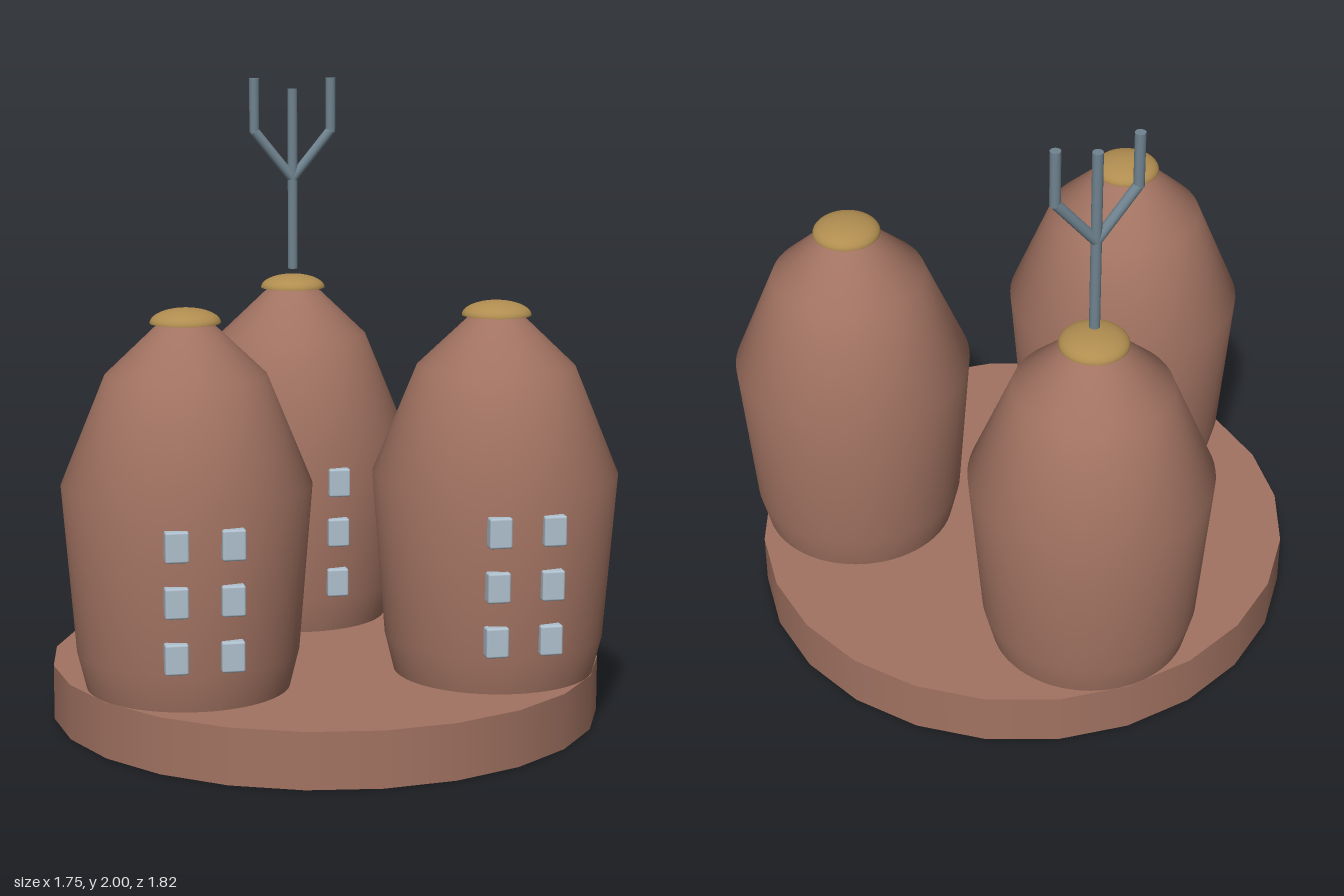
import * as THREE from 'three';
import { RoundedBoxGeometry } from 'three/addons/geometries/RoundedBoxGeometry.js';

const material = (name, color) => {
  const m = new THREE.MeshStandardMaterial({ color });
  m.name = name;
  return m;
};

export function createModel() {
  const clay = material('clay brown', 0xa27362);
  const brass = material('brass', 0xb08d50);
  const steel = material('steel grey', 0x6f838f);
  const glass = material('pale glass', 0xafc0ce);

  const model = new THREE.Group();
  model.name = 'threeTowers';

  const add = (parent, name, geometry, mat, x = 0, y = 0, z = 0) => {
    const mesh = new THREE.Mesh(geometry, mat);
    mesh.name = name;
    mesh.position.set(x, y, z);
    parent.add(mesh);
    return mesh;
  };

  // Round plinth
  const baseHeight = 0.175;
  add(model, 'base', new THREE.CylinderGeometry(0.877, 0.877, baseHeight, 24), clay, 0, baseHeight / 2, 0.033);

  // Shared tower shapes
  const profile = [[0.313, 0.172], [0.342, 0.29], [0.383, 0.805], [0.246, 1.14], [0.078, 1.3]]
    .map(([r, y]) => new THREE.Vector2(r, y));
  const bodyGeometry = new THREE.LatheGeometry(profile, 64);
  const capGeometry = new THREE.SphereGeometry(0.108, 40, 12, 0, Math.PI * 2, 0, Math.PI / 2);
  capGeometry.scale(1, 0.42, 1);
  const capUnderside = new THREE.CircleGeometry(0.108, 40).rotateX(Math.PI / 2);
  const windowGeometry = new RoundedBoxGeometry(0.07, 0.093, 0.046, 2, 0.007);
  const windowRows = [[0.351, 0.367], [0.523, 0.38], [0.693, 0.393]]; // height, front face

  const addTower = (name, x, z) => {
    const tower = new THREE.Group();
    tower.name = name;
    tower.position.set(x, 0, z);
    model.add(tower);
    add(tower, 'towerBody', bodyGeometry, clay);
    add(tower, 'roofCap', capGeometry, brass, 0, 1.297, 0);
    add(tower, 'roofCapUnderside', capUnderside, brass, 0, 1.297, 0);
    for (const [y, front] of windowRows) {
      for (const side of [-1, 1]) {
        add(tower, 'window', windowGeometry, glass, side * 0.084, y, front - 0.023);
      }
    }
    return tower;
  };

  addTower('leftTower', 0.485, 0.313);
  addTower('rightTower', -0.485, 0.313);
  const backTower = addTower('backTower', 0, -0.527);

  // Three-pronged antenna above the back tower
  const antenna = new THREE.Group();
  antenna.name = 'antenna';
  backTower.add(antenna);
  const addRod = (name, x0, y0, x1, y1) => {
    const dir = new THREE.Vector3(x1 - x0, y1 - y0, 0);
    const rod = add(antenna, name, new THREE.CylinderGeometry(0.0165, 0.0165, dir.length(), 16), steel,
      (x0 + x1) / 2, (y0 + y1) / 2, 0);
    rod.quaternion.setFromUnitVectors(new THREE.Vector3(0, 1, 0), dir.normalize());
  };
  addRod('antennaMast', 0, 1.361, 0, 1.965);
  for (const side of [-1, 1]) {
    addRod('antennaBranch', 0, 1.665, side * 0.13, 1.825);
    addRod('antennaProng', side * 0.13, 1.82, side * 0.13, 2);
  }

  return model;
}
